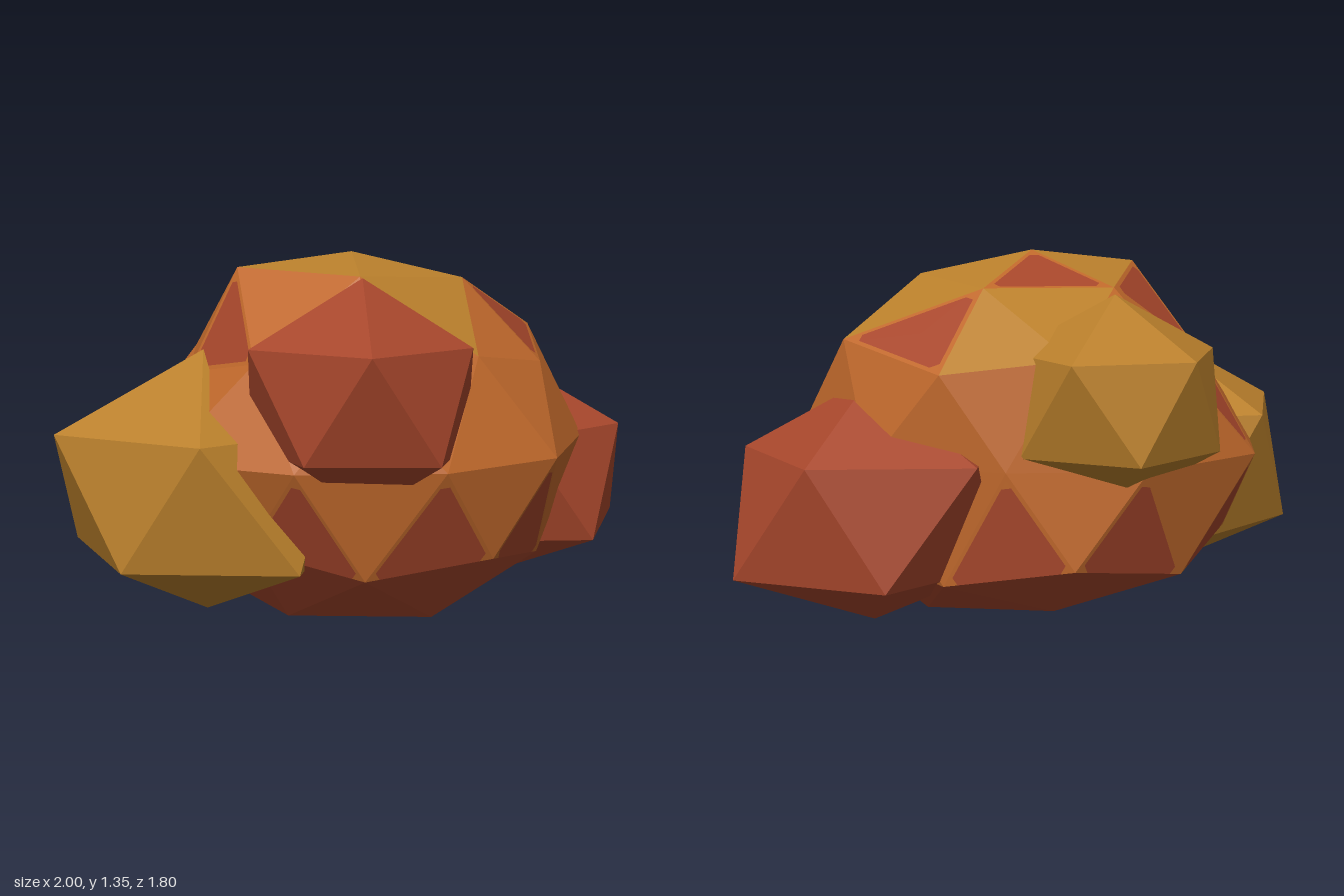
import * as THREE from 'three';

const ochre = new THREE.MeshStandardMaterial({ name: 'ochre', color: 0xb97f2b });
const orange = new THREE.MeshStandardMaterial({ name: 'orange', color: 0xbf682b });
const red = new THREE.MeshStandardMaterial({ name: 'rust red', color: 0xa6462b });
const palette = [ochre, orange, red];
for (const m of palette) m.flatShading = true;
const OCHRE = 0, ORANGE = 1, RED = 2;

// Collects coloured triangles around a centre, turning each one outwards
function facetBuilder(center) {
  const buckets = palette.map(() => []);
  const add = (color, a, b, c) => {
    const n = b.clone().sub(a).cross(c.clone().sub(a));
    if (n.length() < 1e-7) return;
    const out = a.clone().add(b).add(c).divideScalar(3).sub(center);
    const order = n.dot(out) < 0 ? [a, c, b] : [a, b, c];
    for (const v of order) buckets[color].push(v.x, v.y, v.z);
  };
  // Red patch with clipped corners, shrunk towards a pivot, with an orange rim around it
  const patch = (pivot, scale, ...outer) => {
    const inner = outer.map((v) => v.clone().sub(pivot).multiplyScalar(scale).add(pivot));
    const mid = inner[0].clone().add(inner[1]).add(inner[2]).divideScalar(3);
    for (let i = 0; i < 3; i++) {
      const j = (i + 1) % 3, h = (i + 2) % 3;
      const toNext = inner[i].clone().lerp(inner[j], 0.08);
      const toPrev = inner[i].clone().lerp(inner[h], 0.08);
      const nextCorner = inner[j].clone().lerp(inner[i], 0.08);
      add(RED, mid, toPrev, toNext);
      add(RED, mid, toNext, nextCorner);
      add(ORANGE, inner[i], toPrev, toNext);
      add(ORANGE, outer[i], outer[j], inner[j]);
      add(ORANGE, outer[i], inner[j], inner[i]);
    }
  };
  const build = (name) => {
    const geo = new THREE.BufferGeometry();
    geo.setAttribute('position', new THREE.Float32BufferAttribute(buckets.flat(), 3));
    let start = 0;
    buckets.forEach((b, i) => {
      if (b.length) geo.addGroup(start, b.length / 3, i);
      start += b.length / 3;
    });
    geo.computeVertexNormals();
    const mesh = new THREE.Mesh(geo, palette);
    mesh.name = name;
    return mesh;
  };
  return { add, patch, build };
}

// Ring of points; each factor pushes its point in or out, and nothing sinks below ground
function ring(center, radius, height, startDeg, factors, keepHeight = false) {
  return factors.map((f, i) => {
    const a = THREE.MathUtils.degToRad(startDeg + (360 / factors.length) * i);
    const y = center.y + height * (keepHeight ? 1 : f);
    return new THREE.Vector3(center.x + Math.cos(a) * radius * f, Math.max(0.005, y),
      center.z + Math.sin(a) * radius * f);
  });
}

// Main boulder: a squashed, once-subdivided icosahedron with uneven radii
function makeBoulder() {
  const c = new THREE.Vector3(0, 0.63, -0.02);
  const R = 0.86, H = 0.72;
  const top = new THREE.Vector3(0, c.y + H, c.z);
  const bottom = new THREE.Vector3(0, 0.005, c.z);
  const A = ring(c, 0.505 * R, 0.88 * H, 0, [0.99, 1.025, 1.055, 0.94, 0.945]);
  const B = ring(c, 0.894 * R, 0.465 * H, 0, [0.95, 0.9, 0.85, 0.95, 0.975]);
  const C = ring(c, 0.851 * R, 0.55 * H, 36, [0.93, 0.88, 0.87, 0.95, 1.055]);
  const E = ring(c, R, 0, 18, [1.015, 0.99, 0.93, 1.02, 1.02, 1.04, 0.95, 0.86, 0.97, 1.06]);
  const F = ring(c, 0.851 * R, -0.58 * H, 0, [1.0, 0.95, 0.97, 1, 1]);
  const D = ring(c, 0.894 * R, -0.475 * H, 36, [1.01, 0.9, 0.97, 1, 1]);
  const G = ring(c, 0.526 * R, -0.87 * H, 36, [1.03, 0.98, 0.93, 0.93, 1]);
  // Corners on the front left that sit a little further back
  C[0].z -= 0.06;
  E[1].z -= 0.04;
  D[0].z -= 0.03;

  const { add, patch, build } = facetBuilder(c);
  const face = (color, p, q, r) => {
    if (color === RED) patch(p.clone().add(q).add(r).divideScalar(3), 0.88, p, q, r);
    else add(color, p, q, r);
  };
  const skirt = (apex, p, q) => patch(p.clone().add(q).multiplyScalar(0.5), 0.93, apex, p, q);

  for (let k = 0; k < 5; k++) {
    const n = (k + 1) % 5, p = (k + 4) % 5;
    const eRight = E[2 * k], eLeft = E[(2 * k + 9) % 10], eNext = E[2 * k + 1];
    // Cap
    face(k === 3 ? RED : OCHRE, top, A[k], A[n]);
    face([OCHRE, ORANGE, RED, OCHRE, OCHRE][k], A[k], C[k], A[n]);
    // Shoulder
    face(k === 4 ? RED : ORANGE, A[k], B[k], C[k]);
    face([RED, ORANGE, RED, ORANGE, OCHRE][k], A[k], C[p], B[k]);
    // Band above the widest ring
    face(ORANGE, B[k], eRight, eLeft);
    face(ORANGE, C[k], eRight, eNext);
    face(ORANGE, B[k], C[k], eRight);
    face(k === 3 ? RED : ORANGE, B[k], C[p], eLeft);
    // Zigzag band below the widest ring
    add(ORANGE, D[k], eRight, eNext);
    add(ORANGE, F[k], eLeft, eRight);
    skirt(eRight, F[k], D[k]);
    skirt(eLeft, D[p], F[k]);
    // Underside
    add(RED, D[k], G[k], F[k]);
    add(RED, D[k], F[n], G[k]);
    add(RED, G[p], G[k], F[k]);
    add(RED, bottom, G[k], G[n]);
  }
  return build('mainBoulder');
}

// Side boulder: a plain upright icosahedron, slightly uneven
function makeLobe({ name, color, at, radius, height, upper, lower }) {
  const c = new THREE.Vector3(...at);
  const top = new THREE.Vector3(c.x, c.y + height, c.z);
  const bottom = new THREE.Vector3(c.x, Math.max(0.01, c.y - height), c.z);
  const U = ring(c, 0.894 * radius, 0.447 * height, 0, upper, true);
  const L = ring(c, 0.894 * radius, -0.447 * height, 36, lower, true);
  const { add, build } = facetBuilder(c);
  for (let k = 0; k < 5; k++) {
    const n = (k + 1) % 5;
    add(color, top, U[k], U[n]);
    add(color, U[k], U[n], L[k]);
    add(color, L[k], L[n], U[n]);
    add(color, bottom, L[k], L[n]);
  }
  return build(name);
}

const lobes = [
  { name: 'frontOchreBoulder', color: OCHRE, at: [-0.47, 0.485, 0.36], radius: 0.58, height: 0.515,
    upper: [1, 0.94, 1.08, 1, 1], lower: [1.11, 0.94, 1.02, 1, 1] },
  { name: 'frontRedBoulder', color: RED, at: [0.17, 0.86, 0.5], radius: 0.46, height: 0.42,
    upper: [0.95, 1.01, 1.02, 1, 1], lower: [0.99, 0.9, 1, 1, 1] },
  { name: 'backRedBoulder', color: RED, at: [0.53, 0.44, -0.47], radius: 0.55, height: 0.47,
    upper: [0.96, 1, 1, 1.1, 0.88], lower: [1.02, 1, 1, 0.92, 1.08] },
  { name: 'backOchreBoulder', color: OCHRE, at: [-0.35, 0.845, -0.52], radius: 0.42, height: 0.375,
    upper: [1, 1, 1.12, 0.94, 1.01], lower: [1, 1, 0.99, 0.96, 1] },
];

export function createModel() {
  const group = new THREE.Group();
  group.name = 'boulderCluster';
  group.add(makeBoulder(), ...lobes.map(makeLobe));
  return group;
}
